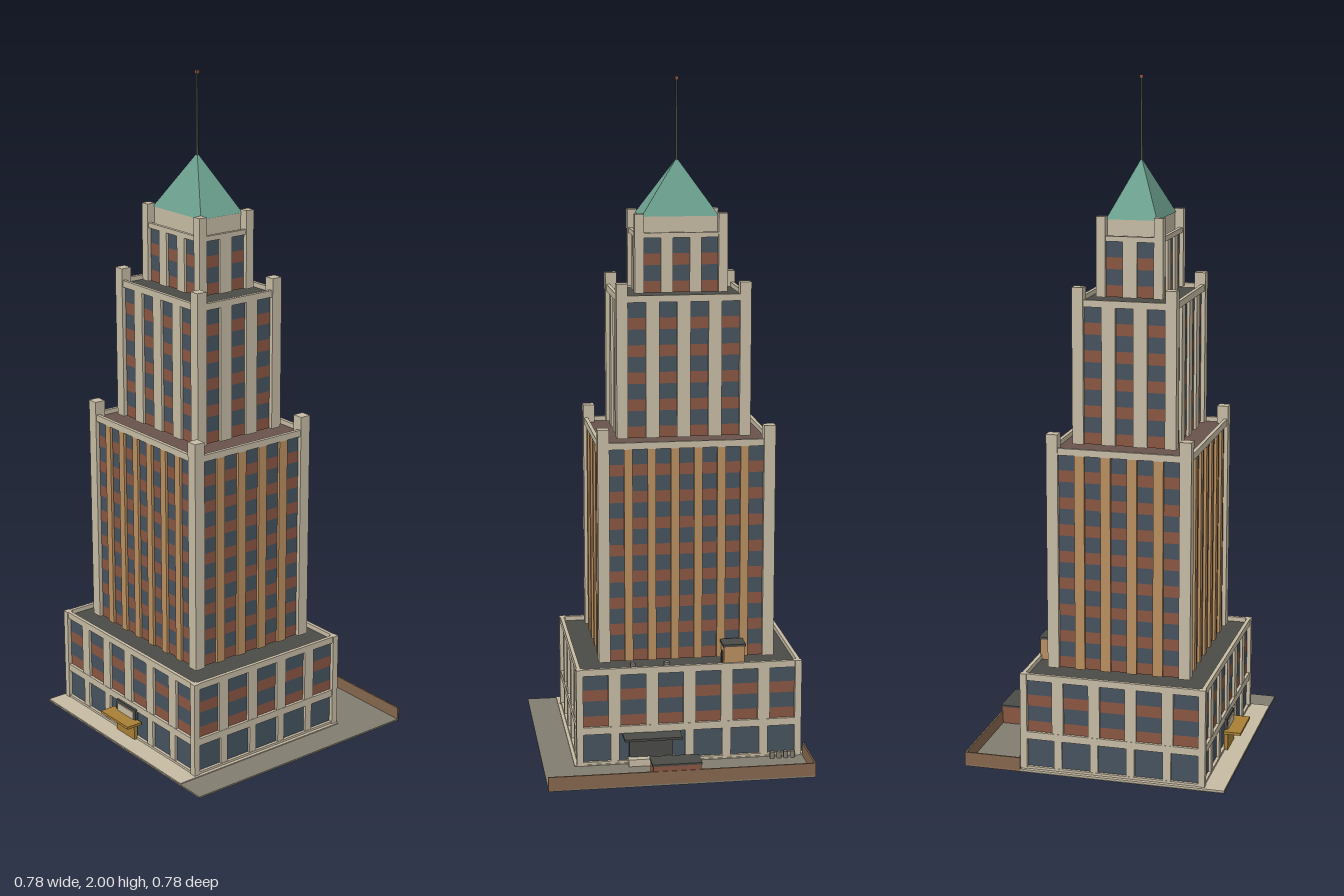
import * as THREE from 'three';

const paint = (name, color) => {
  const m = new THREE.MeshStandardMaterial({ color });
  m.name = name;
  return m;
};
const stone = paint('stone', 0xc6bba4);
const tan = paint('tanBrick', 0xb98f60);
const brick = paint('redBrick', 0x8a5642);
const glass = paint('glass', 0x46535f);
const dark = paint('darkRoofing', 0x4a4b47);
const paving = paint('paving', 0x827c70);
const copper = paint('copper', 0x6ca08f);
const gold = paint('gold', 0xa87f35);
const terrace = paint('terraceTile', 0x69524b);
const fence = paint('fenceBrown', 0x85674e);

// Box given by its limits on each axis
function box(parent, name, mat, x0, x1, y0, y1, z0, z1) {
  const mesh = new THREE.Mesh(new THREE.BoxGeometry(x1 - x0, y1 - y0, z1 - z0), mat);
  mesh.position.set((x0 + x1) / 2, (y0 + y1) / 2, (z0 + z1) / 2);
  mesh.name = name;
  parent.add(mesh);
  return mesh;
}
// Box centred on the tower axis
const slab = (parent, name, mat, hx, hz, y0, y1) => box(parent, name, mat, -hx, hx, y0, y1, -hz, hz);

// Four thin walls around a rectangle
function ring(parent, name, mat, hx, hz, t, y0, y1) {
  for (const s of [-1, 1]) {
    const z = s * (hz - t / 2), x = s * (hx - t / 2);
    box(parent, name, mat, -hx, hx, y0, y1, z - t / 2, z + t / 2);
    box(parent, name, mat, x - t / 2, x + t / 2, y0, y1, -hz + t, hz - t);
  }
}

// Evenly spaced piers between windows, on all four sides
function piers(parent, mat, o, y0, y1) {
  const out = 0.004, depth = 0.012;
  const run = (half, n, w, place) => {
    const span = 2 * (half - o.corner), p = (span - n * w) / (n - 1);
    for (let i = 1; i < n; i++) {
      const a = -span / 2 + i * w + (i - 1) * p;
      place(a, a + p);
    }
  };
  for (const s of [-1, 1]) {
    run(o.hx, o.nx, o.wx, (a, b) => {
      const z = s * (o.hz - out - depth / 2);
      box(parent, 'pier', mat, a, b, y0, y1, z - depth / 2, z + depth / 2);
    });
    run(o.hz, o.nz, o.wz, (a, b) => {
      const x = s * (o.hx - out - depth / 2);
      box(parent, 'pier', mat, x - depth / 2, x + depth / 2, y0, y1, a, b);
    });
  }
}

function corners(parent, o, y0, y1) {
  for (const sx of [-1, 1]) for (const sz of [-1, 1]) {
    const x = sx * (o.hx - o.corner / 2), z = sz * (o.hz - o.corner / 2), c = o.corner / 2;
    box(parent, 'cornerPier', stone, x - c, x + c, y0, y1, z - c, z + c);
  }
}

// One setback: glass and spandrel bands, piers, parapet, deck
function tier(parent, o) {
  const g = new THREE.Group();
  g.name = o.name;
  parent.add(g);
  const pitch = 0.08, hx = o.hx - 0.012, hz = o.hz - 0.012;
  const top = o.y + o.floors * pitch;
  for (let i = 0; i < o.floors; i++) {
    const y = o.y + i * pitch;
    slab(g, 'spandrelBand', brick, hx, hz, y, y + 0.034);
    slab(g, 'windowBand', glass, hx, hz, y + 0.034, y + pitch);
  }
  piers(g, o.pier, o, o.y, top);
  corners(g, o, o.base ?? o.y, o.cornerTop);
  slab(g, 'roofDeck', o.deck, hx, hz, top, top + 0.006);
  ring(g, 'parapet', stone, o.hx - 0.003, o.hz - 0.003, 0.011, top, o.top);
  return g;
}

export function createModel() {
  const model = new THREE.Group();
  model.name = 'steppedTower';
  const tower = new THREE.Group();
  tower.name = 'tower';
  tower.position.set(-0.045, 0, 0.055);
  model.add(tower);

  // Setbacks from street to crown
  const base = { name: 'podium', hx: 0.336, hz: 0.276, y: 0.12, floors: 2, top: 0.3, cornerTop: 0.3, base: 0,
    corner: 0.02, nx: 6, wx: 0.075, nz: 5, wz: 0.075, pier: stone, deck: dark };
  const podium = tier(tower, base);
  tier(tower, { name: 'lowerShaft', hx: 0.262, hz: 0.213, y: 0.3, floors: 8, top: 0.96, cornerTop: 1.0,
    corner: 0.034, nx: 7, wx: 0.044, nz: 5, wz: 0.048, pier: tan, deck: terrace });
  tier(tower, { name: 'middleShaft', hx: 0.198, hz: 0.153, y: 0.96, floors: 5, top: 1.38, cornerTop: 1.415,
    corner: 0.033, nx: 4, wx: 0.053, nz: 3, wz: 0.053, pier: stone, deck: dark });
  tier(tower, { name: 'upperShaft', hx: 0.137, hz: 0.098, y: 1.38, floors: 2, top: 1.555, cornerTop: 1.61,
    corner: 0.027, nx: 3, wx: 0.05, nz: 2, wz: 0.05, pier: stone, deck: dark });

  // Street level shop windows
  slab(podium, 'shopWindows', glass, 0.324, 0.264, 0.015, 0.1);
  slab(podium, 'plinth', stone, 0.333, 0.273, 0, 0.015);
  slab(podium, 'beltCourse', stone, 0.333, 0.273, 0.1, 0.122);
  piers(podium, stone, { ...base, corner: 0.016, wx: 0.085, wz: 0.085 }, 0.015, 0.1);

  // Crown, copper roof and mast
  slab(tower, 'crownBlock', stone, 0.111, 0.073, 1.545, 1.602);
  const roofGeo = new THREE.ConeGeometry(Math.SQRT2, 0.165, 4, 1).toNonIndexed();
  roofGeo.rotateY(Math.PI / 4).scale(0.114, 1, 0.075).computeVertexNormals();
  const roof = new THREE.Mesh(roofGeo, copper);
  roof.name = 'pyramidRoof';
  roof.position.y = 1.6825;
  tower.add(roof);
  const mast = new THREE.Mesh(new THREE.CylinderGeometry(0.003, 0.004, 0.24, 8), dark);
  mast.name = 'mast';
  mast.position.y = 1.87;
  tower.add(mast);
  slab(tower, 'mastLight', brick, 0.005, 0.005, 1.99, 2.0);

  // Entrance: gold doors, canopy and a framed panel over it
  const entry = new THREE.Group();
  entry.name = 'entrance';
  model.add(entry);
  box(entry, 'doors', gold, -0.093, -0.002, 0.006, 0.068, 0.325, 0.337);
  box(entry, 'canopy', gold, -0.115, 0.024, 0.066, 0.074, 0.328, 0.38);
  box(entry, 'panelFrame', dark, -0.096, 0.002, 0.074, 0.107, 0.325, 0.335);
  box(entry, 'panel', stone, -0.087, -0.007, 0.074, 0.098, 0.33, 0.338);

  // Stair house and vents on the podium roof
  box(model, 'stairHouse', tan, -0.21, -0.148, 0.285, 0.349, -0.211, -0.155);
  box(model, 'stairHouseRoof', dark, -0.213, -0.145, 0.349, 0.356, -0.214, -0.153);
  box(model, 'stairDoor', dark, -0.15, -0.145, 0.29, 0.33, -0.192, -0.175);
  for (const x of [0.02, 0.12]) {
    const vent = new THREE.Mesh(new THREE.CylinderGeometry(0.009, 0.009, 0.02, 6), paving);
    vent.name = 'roofVent';
    vent.position.set(x, 0.295, -0.188);
    model.add(vent);
  }

  // Ground, pavement and yard walls
  box(model, 'ground', paving, -0.39, 0.39, 0, 0.005, -0.39, 0.39);
  box(model, 'pavement', stone, -0.39, 0.298, 0.004, 0.008, -0.22, 0.389);
  box(model, 'backWall', fence, -0.39, 0.39, 0, 0.043, -0.39, -0.385);
  box(model, 'sideWall', fence, -0.39, -0.385, 0, 0.043, -0.385, -0.22);

  // Loading dock, shed and yard clutter
  box(model, 'dockCanopy', dark, -0.016, 0.155, 0.092, 0.099, -0.272, -0.215);
  box(model, 'dockPlatform', stone, 0, 0.14, 0.005, 0.026, -0.245, -0.215);
  box(model, 'dockDoor', dark, 0.005, 0.135, 0.026, 0.088, -0.222, -0.212);
  box(model, 'shed', brick, -0.052, 0.087, 0.005, 0.058, -0.388, -0.324);
  box(model, 'shedRoof', dark, -0.055, 0.09, 0.058, 0.064, -0.39, -0.321);
  box(model, 'crate', fence, 0.004, 0.027, 0.005, 0.024, -0.295, -0.272);
  for (let i = 0; i < 4; i++) {
    const bin = new THREE.Mesh(new THREE.CylinderGeometry(0.008, 0.008, 0.02, 6), paving);
    bin.name = 'bin';
    bin.position.set(-0.353 + i * 0.0205, 0.015, -0.233);
    model.add(bin);
  }
  return model;
}
